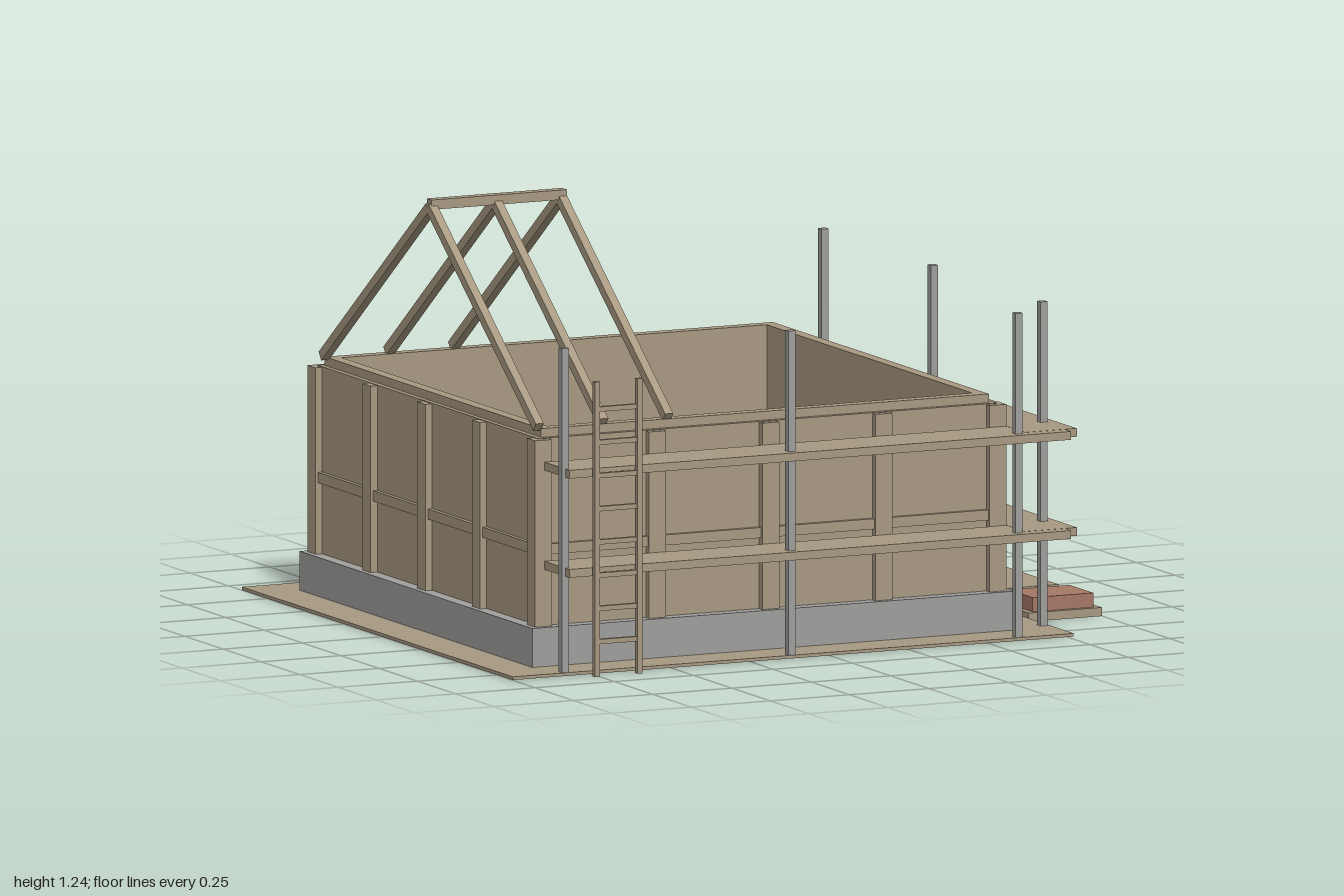
import * as THREE from 'three';

export function createModel() {
  const model = new THREE.Group();
  const mat = (name, color) => {
    const m = new THREE.MeshStandardMaterial({ color });
    m.name = name;
    return m;
  };
  const timber = mat('timber', 0xa89a82);
  const grey = mat('stone and steel', 0x9fa09d);
  const brick = mat('brick', 0xa67866);

  // Box given by its low and high limits on each axis
  function box(name, material, [x0, x1], [y0, y1], [z0, z1], parent = model) {
    const mesh = new THREE.Mesh(new THREE.BoxGeometry(x1 - x0, y1 - y0, z1 - z0), material);
    mesh.position.set((x0 + x1) / 2, (y0 + y1) / 2, (z0 + z1) / 2);
    mesh.name = name;
    parent.add(mesh);
    return mesh;
  }

  // Square frame with an open middle, standing upright from y0 to y1
  function ring(name, material, outer, inner, y0, y1, parent) {
    const square = (s, T) => {
      const p = new T();
      p.moveTo(-s, -s).lineTo(s, -s).lineTo(s, s).lineTo(-s, s).closePath();
      return p;
    };
    const shape = square(outer, THREE.Shape);
    shape.holes.push(square(inner, THREE.Path));
    const geo = new THREE.ExtrudeGeometry(shape, { depth: y1 - y0, bevelEnabled: false });
    geo.rotateX(-Math.PI / 2);
    const mesh = new THREE.Mesh(geo, material);
    mesh.position.y = y0;
    mesh.name = name;
    parent.add(mesh);
  }

  // Ground slab
  box('ground', timber, [-1, 0.768], [0.0008, 0.01], [-0.912, 0.855]);

  // House shell, built around its own centre
  const house = new THREE.Group();
  house.name = 'house';
  house.position.set(-0.118, 0, -0.03);
  model.add(house);
  ring('foundation', grey, 0.76, 0.66, 0, 0.122, house);
  box('floor', timber, [-0.668, 0.668], [0.005, 0.125], [-0.668, 0.668], house);
  ring('walls', timber, 0.722, 0.67, 0.122, 0.66, house);
  ring('topPlate', timber, 0.706, 0.67, 0.66, 0.685, house);

  // Studs and middle rail on each of the four walls
  for (let side = 0; side < 4; side++) {
    const wall = new THREE.Group();
    wall.name = 'wallFraming';
    wall.rotation.y = side * Math.PI / 2;
    house.add(wall);
    for (const x of [-0.357, 0, 0.357]) {
      box('stud', timber, [x - 0.027, x + 0.027], [0.122, 0.658], [0.70, 0.743], wall);
    }
    box('cornerPost', timber, [0.69, 0.743], [0.122, 0.658], [0.69, 0.743], wall);
    box('middleRail', timber, [-0.70, 0.70], [0.327, 0.357], [0.70, 0.735], wall);
  }

  // Roof rafters in pairs, meeting at the ridge
  const roof = new THREE.Group();
  roof.name = 'roofFrame';
  roof.position.z = -0.025;
  model.add(roof);
  const run = 0.70, rise = 0.53;
  for (const x of [-0.832, -0.628, -0.424]) {
    for (const s of [-1, 1]) {
      const rafter = new THREE.Mesh(
        new THREE.BoxGeometry(0.025, 0.028, Math.hypot(run, rise)), timber);
      rafter.position.set(x, 0.69 + rise / 2, s * run / 2);
      rafter.rotation.x = s * Math.atan2(rise, run);
      rafter.name = 'rafter';
      roof.add(rafter);
    }
  }
  box('ridgeBeam', timber, [-0.838, -0.412], [1.215, 1.243], [-0.016, 0.016], roof);

  // Scaffold poles and walkways
  const poles = [[-0.832, 0.84], [-0.118, 0.84], [0.598, 0.84],
    [0.75, 0.688], [0.75, -0.028], [0.75, -0.742]];
  for (const [x, z] of poles) {
    box('scaffoldPole', grey, [x - 0.011, x + 0.011], [0.005, 0.942], [z - 0.011, z + 0.011]);
  }
  for (const y of [0.286, 0.571]) {
    box('frontWalkway', timber, [-0.832, 0.75], [y, y + 0.024], [0.713, 0.876]);
    box('sideWalkway', timber, [0.624, 0.787], [y + 0.0005, y + 0.0245], [-0.742, 0.837]);
  }

  // Ladder
  const ladder = new THREE.Group();
  ladder.name = 'ladder';
  model.add(ladder);
  for (const x of [-0.757, -0.623]) {
    box('ladderRail', timber, [x - 0.008, x + 0.008], [0, 0.848], [0.888, 0.904], ladder);
  }
  for (let i = 0; i < 8; i++) {
    const y = 0.1 + i * 0.0955;
    box('rung', timber, [-0.757, -0.623], [y - 0.007, y + 0.007], [0.889, 0.903], ladder);
  }

  // Stacked boards and the brick pallet
  box('lowerBoards', timber, [0.768, 1], [0, 0.026], [-0.143, 0.278]);
  box('upperBoards', timber, [0.768, 1], [0.026, 0.05], [-0.143, 0.278]);
  box('pallet', timber, [0.768, 1], [0, 0.025], [0.372, 0.56]);
  box('brickStack', brick, [0.788, 0.98], [0.025, 0.066], [0.39, 0.545]);

  return model;
}
